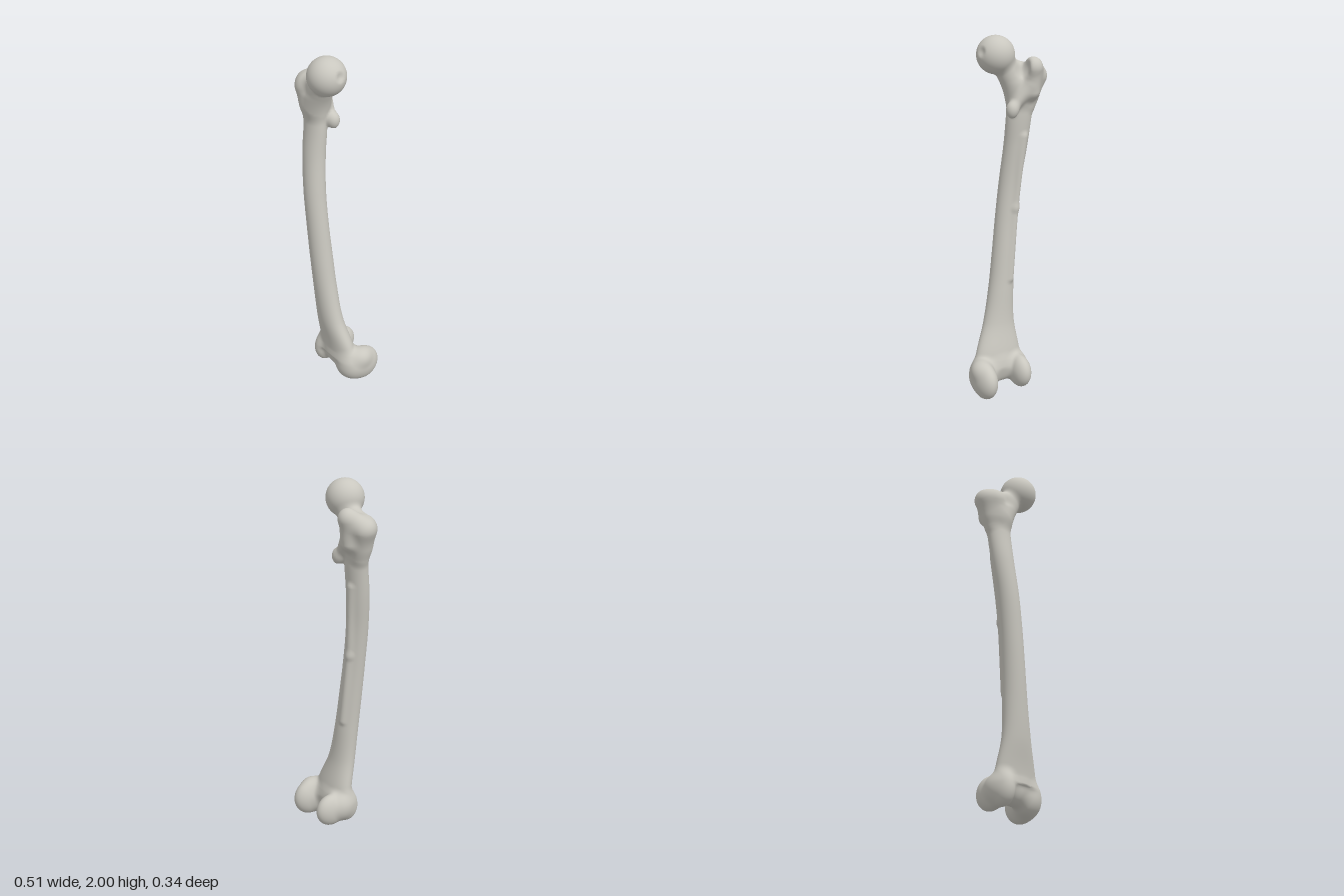
import * as THREE from 'three';

// ---- distance helpers ----
const mix = (a, b, t) => a + (b - a) * t;
const clamp = (v, a, b) => Math.min(b, Math.max(a, v));
function smoothMin(a, b, k) {
  const h = Math.max(k - Math.abs(a - b), 0) / k;
  return Math.min(a, b) - h * h * k * 0.25;
}
function ellipsoid([cx, cy, cz], [rx, ry, rz]) {
  return (x, y, z) => {
    const a = (x - cx) / rx, b = (y - cy) / ry, c = (z - cz) / rz;
    const k0 = Math.hypot(a, b, c), k1 = Math.hypot(a / rx, b / ry, c / rz);
    return k1 < 1e-6 ? -Math.min(rx, ry, rz) : k0 * (k0 - 1) / k1;
  };
}
const ball = (c, r) => (x, y, z) => Math.hypot(x - c[0], y - c[1], z - c[2]) - r;
// Rod whose radius changes from r0 to r1
function rod(p, q, r0, r1) {
  const d = q.map((v, i) => v - p[i]);
  const len2 = d[0] ** 2 + d[1] ** 2 + d[2] ** 2;
  return (x, y, z) => {
    const ax = x - p[0], ay = y - p[1], az = z - p[2];
    const t = clamp((ax * d[0] + ay * d[1] + az * d[2]) / len2, 0, 1);
    return Math.hypot(ax - d[0] * t, ay - d[1] * t, az - d[2] * t) - mix(r0, r1, t);
  };
}

// ---- bowed shaft: right, left, back and front edge every 0.2 from y = 0.2 ----
const SHAFT = [
  [-0.085, 0.195, -0.055, 0.08],
  [-0.065, 0.12, -0.015, 0.11],
  [-0.07, 0.075, 0, 0.125],
  [-0.085, 0.045, 0.01, 0.135],
  [-0.105, 0.02, 0.02, 0.14],
  [-0.13, -0.005, 0.02, 0.14],
  [-0.16, -0.025, 0.005, 0.125],
  [-0.182, -0.03, -0.01, 0.1],
  [-0.215, -0.045, 0, 0.095],
];
function shaftEdge(y, k) {
  const s = clamp(y / 0.2 - 1, 0, 7.999), i = Math.floor(s), t = s - i;
  const v = (n) => SHAFT[clamp(n, 0, 8)][k];
  const a = v(i - 1), b = v(i), c = v(i + 1), d = v(i + 2);
  return b + 0.5 * t * (c - a + t * (2 * a - 5 * b + 4 * c - d + t * (3 * (b - c) + d - a)));
}
function shaft(x, y, z) {
  const [l, r, back, front] = [0, 1, 2, 3].map((k) => shaftEdge(y, k));
  const rx = (r - l) / 2, rz = (front - back) / 2;
  const a = (x - (l + r) / 2) / rx, c = (z - (back + front) / 2) / rz;
  const k0 = Math.hypot(a, c), k1 = Math.hypot(a / rx, c / rz);
  const d = k1 < 1e-6 ? -Math.min(rx, rz) : k0 * (k0 - 1) / k1;
  const cap = Math.max(0.16 - y, y - 1.74);
  return Math.min(Math.max(d, cap), 0) + Math.hypot(Math.max(d, 0), Math.max(cap, 0));
}

// ---- anatomy: [part name, shape, blend width] ----
const PARTS = [
  ['shaft', shaft, 0.03],
  // ridge down the back
  ['shaft', rod([-0.03, 0.65, 0.012], [-0.07, 1.05, 0.026], 0.01, 0.012), 0.03],
  ['shaft', rod([-0.07, 1.05, 0.026], [-0.11, 1.45, 0.008], 0.012, 0.014), 0.03],
  // neck and its upper bridge
  ['neck', rod([0.0, 1.86, 0.058], [-0.1, 1.69, 0.042], 0.056, 0.072), 0.05],
  ['neck', rod([-0.02, 1.84, 0.055], [-0.15, 1.80, 0.06], 0.04, 0.042), 0.04],
  // greater trochanter: oblique crest, front bump and side swelling
  ['greaterTrochanter', rod([-0.195, 1.78, 0.035], [-0.14, 1.84, -0.035], 0.054, 0.045), 0.04],
  ['greaterTrochanter', rod([-0.165, 1.77, 0.07], [-0.15, 1.68, 0.05], 0.046, 0.045), 0.04],
  ['greaterTrochanter', rod([-0.195, 1.77, 0.02], [-0.155, 1.62, 0.035], 0.05, 0.03), 0.04],
  ['greaterTrochanter', rod([-0.14, 1.82, -0.035], [-0.14, 1.7, -0.025], 0.042, 0.038), 0.04],
  // crest running to the lesser trochanter
  ['lesserTrochanter', rod([-0.12, 1.73, -0.025], [-0.035, 1.62, -0.012], 0.025, 0.022), 0.03],
  ['lesserTrochanter', ellipsoid([-0.023, 1.605, -0.014], [0.031, 0.042, 0.032]), 0.03],
  ['head', ball([0.03, 1.897, 0.067], 0.103), 0.02],
  // lower end
  ['medialCondyle', ellipsoid([0.185, 0.108, -0.068], [0.063, 0.104, 0.103]), 0.04],
  ['medialCondyle', ellipsoid([0.15, 0.115, 0.0], [0.082, 0.095, 0.075]), 0.04],
  ['medialCondyle', ellipsoid([0.198, 0.165, -0.05], [0.052, 0.052, 0.055]), 0.03],
  ['lateralCondyle', ellipsoid([-0.038, 0.122, -0.072], [0.056, 0.093, 0.093]), 0.04],
  ['lateralCondyle', ellipsoid([-0.048, 0.125, 0.025], [0.054, 0.092, 0.07]), 0.04],
  ['lateralCondyle', ellipsoid([-0.066, 0.135, -0.015], [0.044, 0.06, 0.055]), 0.03],
  ['patellarSurface', ellipsoid([0.05, 0.145, 0.0], [0.11, 0.088, 0.07]), 0.03],
];
// Hollows: pit in the head, trochanteric fossa, notch between the condyles
const HOLLOWS = [
  [ball([0.143, 1.925, 0.045], 0.025), 0.02],
  [ellipsoid([-0.085, 1.835, -0.03], [0.03, 0.045, 0.032]), 0.03],
  [ellipsoid([0.067, 0.06, -0.125], [0.04, 0.1, 0.06]), 0.03],
];
function field(x, y, z) {
  let d = 10;
  for (const [, f, k] of PARTS) d = smoothMin(d, f(x, y, z), k);
  for (const [f, k] of HOLLOWS) d = -smoothMin(-d, f(x, y, z), k);
  return d;
}
function gradient(x, y, z, e = 0.002) {
  return new THREE.Vector3(
    field(x + e, y, z) - field(x - e, y, z),
    field(x, y + e, z) - field(x, y - e, z),
    field(x, y, z + e) - field(x, y, z - e),
  ).divideScalar(2 * e);
}

// ---- skin the blended shape with a quad net on a regular grid ----
function skin() {
  const h = 0.01, o = [-0.3, -0.04, -0.22], n = [61, 210, 44];
  const step = [1, n[0], n[0] * n[1]];
  const at = (i, j, k) => i + j * step[1] + k * step[2];
  const val = new Float32Array(n[0] * n[1] * n[2]);
  for (let k = 0; k < n[2]; k++) for (let j = 0; j < n[1]; j++) for (let i = 0; i < n[0]; i++)
    val[at(i, j, k)] = field(o[0] + i * h, o[1] + j * h, o[2] + k * h);

  const pos = [], nor = [], faces = {}, cell = new Int32Array(val.length).fill(-1);
  const corners = [0, 1, 2, 3, 4, 5, 6, 7].map((c) => [c & 1, (c >> 1) & 1, c >> 2]);
  for (let k = 0; k < n[2] - 1; k++) for (let j = 0; j < n[1] - 1; j++) for (let i = 0; i < n[0] - 1; i++) {
    const id = at(i, j, k), v = corners.map((c) => val[id + at(...c)]);
    if (v.every((a) => a < 0) || v.every((a) => a >= 0)) continue;
    // average of the edge crossings, then pulled onto the surface
    const p = new THREE.Vector3();
    let count = 0;
    for (let c = 0; c < 8; c++) for (const bit of [1, 2, 4]) {
      const e = c | bit;
      if (e === c || (v[c] < 0) === (v[e] < 0)) continue;
      const t = v[c] / (v[c] - v[e]);
      p.add(new THREE.Vector3(...corners[c].map((a, m) => mix(a, corners[e][m], t))));
      count++;
    }
    p.divideScalar(count).add(new THREE.Vector3(i, j, k)).multiplyScalar(h).add(new THREE.Vector3(...o));
    for (let s = 0; s < 2; s++) {
      const g = gradient(p.x, p.y, p.z);
      p.addScaledVector(g, -clamp(field(p.x, p.y, p.z) / Math.max(g.lengthSq(), 0.2), -h / 2, h / 2));
    }
    cell[id] = pos.length / 3;
    pos.push(p.x, p.y, p.z);
    nor.push(...gradient(p.x, p.y, p.z).normalize().toArray());
  }

  // one quad per crossed grid edge, given to the nearest anatomical part
  for (let k = 1; k < n[2] - 1; k++) for (let j = 1; j < n[1] - 1; j++) for (let i = 1; i < n[0] - 1; i++) {
    const id = at(i, j, k);
    for (let a = 0; a < 3; a++) {
      const inside = val[id] < 0;
      if (inside === (val[id + step[a]] < 0)) continue;
      const u = step[(a + 1) % 3], w = step[(a + 2) % 3];
      const q = [cell[id], cell[id - u], cell[id - u - w], cell[id - w]];
      if (!inside) q.reverse();
      const p = pos.slice(q[0] * 3, q[0] * 3 + 3);
      let name = '', best = Infinity;
      for (const [part, f] of PARTS) {
        const d = f(...p);
        if (d < best) { best = d; name = part; }
      }
      (faces[name] ??= []).push(q[0], q[1], q[2], q[0], q[2], q[3]);
    }
  }
  return { pos, nor, faces };
}

export function createModel() {
  const group = new THREE.Group();
  group.name = 'thighBone';
  const bone = new THREE.MeshStandardMaterial({ color: 0xc9c7bf });
  bone.name = 'bone';
  const { pos, nor, faces } = skin();
  const position = new THREE.Float32BufferAttribute(pos, 3);
  const normal = new THREE.Float32BufferAttribute(nor, 3);
  for (const [name, index] of Object.entries(faces)) {
    const geometry = new THREE.BufferGeometry();
    geometry.setAttribute('position', position);
    geometry.setAttribute('normal', normal);
    geometry.setIndex(index);
    const mesh = new THREE.Mesh(geometry, bone);
    mesh.name = name;
    group.add(mesh);
  }
  return group;
}
